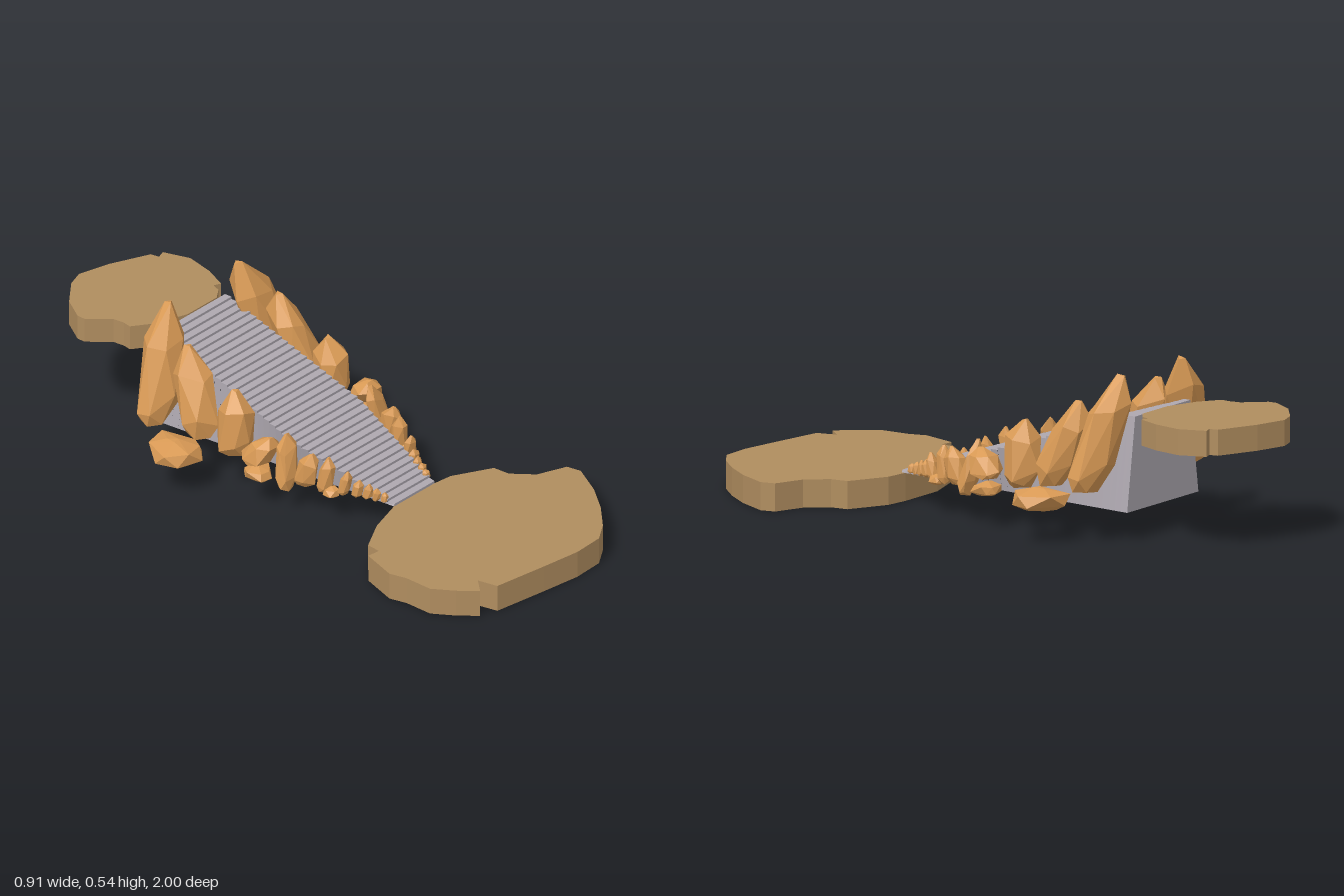
import * as THREE from 'three';
import { ConvexGeometry } from 'three/addons/geometries/ConvexGeometry.js';

const CX = -0.017; // axis of the stairway and of the mirrored rocks
const mat = (color) => new THREE.MeshStandardMaterial({ color, flatShading: true });

// Flat slab with a ragged outline given as [x, z] points
function slab(name, outline, y0, y1, material) {
  const shape = new THREE.Shape(outline.map(([x, z]) => new THREE.Vector2(x, -z)));
  const geo = new THREE.ExtrudeGeometry(shape, { depth: y1 - y0, bevelEnabled: false });
  geo.rotateX(-Math.PI / 2);
  geo.translate(0, y0, 0);
  const mesh = new THREE.Mesh(geo, material);
  mesh.name = name;
  return mesh;
}

// Solid flight of steps, narrow at the foot, with leaning side walls
function stairs(material) {
  const steps = 36, z0 = 0.375, z1 = -0.57, yb = 0.095, yt = 0.402;
  const pos = [];
  const quad = (a, b, c, d) => pos.push(...a, ...b, ...c, ...a, ...c, ...d);
  const lerp = THREE.MathUtils.lerp;
  const topHalf = (t) => (t < 0.4 ? lerp(0.095, 0.17, t / 0.4) : lerp(0.17, 0.155, (t - 0.4) / 0.6));
  const lowHalf = (t) => lerp(0.1, 0.2, t);
  const p = (s, half, y, t) => [CX + s * half, y, lerp(z0, z1, t)];
  for (let i = 0; i < steps; i++) {
    const a = i / steps, b = (i + 1) / steps;
    const y = lerp(yb, yt, b), yPrev = lerp(yb, yt, a);
    const wa = topHalf(a), wb = topHalf(b), la = lowHalf(a), lb = lowHalf(b);
    quad(p(-1, wa, yPrev, a), p(1, wa, yPrev, a), p(1, wa, y, a), p(-1, wa, y, a)); // riser
    quad(p(-1, wa, y, a), p(1, wa, y, a), p(1, wb, y, b), p(-1, wb, y, b)); // tread
    quad(p(1, la, yb, a), p(1, lb, yb, b), p(1, wb, y, b), p(1, wa, y, a)); // left wall
    quad(p(-1, lb, yb, b), p(-1, la, yb, a), p(-1, wa, y, a), p(-1, wb, y, b)); // right wall
  }
  const l0 = lowHalf(0), l1 = lowHalf(1), w1 = topHalf(1);
  quad(p(-1, l1, yb, 1), p(1, l1, yb, 1), p(1, l0, yb, 0), p(-1, l0, yb, 0)); // underside
  quad(p(1, l1, yb, 1), p(-1, l1, yb, 1), p(-1, w1, yt, 1), p(1, w1, yt, 1)); // back
  const geo = new THREE.BufferGeometry();
  geo.setAttribute('position', new THREE.Float32BufferAttribute(pos, 3));
  geo.computeVertexNormals();
  const mesh = new THREE.Mesh(geo, material);
  mesh.name = 'stairway';
  return mesh;
}

function seeded(seed) {
  let s = seed * 7919 + 17;
  return () => (s = (s * 16807) % 2147483647) / 2147483647;
}

// Faceted boulder: jittered rings from a base point to a tip, wrapped in a hull
function rockPoints([bx, by, bz, tx, ty, tz, rx, rz], seed) {
  const rnd = seeded(seed);
  for (let i = 0; i < 5; i++) rnd();
  const rings = [[0, 0.6], [0.2, 1], [0.7, 0.92], [1, 0.2]];
  const pts = [];
  rings.forEach(([t, r], k) => {
    const n = k === 3 ? 3 : 6;
    for (let i = 0; i < n; i++) {
      const a = ((i + rnd() * 0.5 + k * 0.4) / n) * Math.PI * 2;
      const q = r * (0.88 + rnd() * 0.22);
      const dy = k === 3 ? -rnd() * 0.05 : k === 0 ? rnd() * 0.08 : (rnd() - 0.5) * 0.16;
      pts.push(new THREE.Vector3(
        bx + (tx - bx) * t + Math.cos(a) * rx * q,
        by + (ty - by) * (t + dy),
        bz + (tz - bz) * t + Math.sin(a) * rz * q));
    }
  });
  return pts;
}

// base x, y, z, tip x, y, z, radius x, radius z
const ROCKS = [
  [0.28, 0.165, -0.47, 0.15, 0.54, -0.525, 0.09, 0.07],
  [0.24, 0.16, -0.31, 0.2, 0.455, -0.4, 0.065, 0.075],
  [0.33, 0.105, -0.33, 0.34, 0.18, -0.34, 0.085, 0.105],
  [0.22, 0.14, -0.185, 0.205, 0.365, -0.19, 0.065, 0.065],
  [0.25, 0.16, -0.08, 0.22, 0.255, -0.03, 0.055, 0.05],
  [0.24, 0.1, -0.06, 0.24, 0.15, -0.07, 0.05, 0.05],
  [0.22, 0.085, 0.035, 0.185, 0.27, 0.005, 0.045, 0.028],
  [0.19, 0.11, 0.08, 0.18, 0.235, 0.11, 0.032, 0.04],
  [0.165, 0.1, 0.15, 0.155, 0.225, 0.16, 0.03, 0.028],
  [0.17, 0.095, 0.18, 0.16, 0.13, 0.18, 0.025, 0.028],
  [0.14, 0.1, 0.21, 0.135, 0.19, 0.225, 0.024, 0.022],
  [0.12, 0.1, 0.25, 0.115, 0.16, 0.255, 0.022, 0.017],
  [0.105, 0.098, 0.28, 0.1, 0.15, 0.285, 0.019, 0.015],
  [0.095, 0.097, 0.31, 0.09, 0.14, 0.31, 0.017, 0.014],
  [0.085, 0.097, 0.335, 0.08, 0.13, 0.335, 0.014, 0.012],
];

const LOWER = [
  [-0.11, 0.37], [0.07, 0.37], [0.15, 0.38], [0.28, 0.45], [0.285, 0.51], [0.34, 0.58],
  [0.44, 0.62], [0.45, 0.67], [0.39, 0.78], [0.32, 0.87], [0.24, 0.95], [0.17, 0.995],
  [0.06, 1], [-0.08, 0.98], [-0.27, 0.95], [-0.285, 0.88], [-0.33, 0.93], [-0.38, 0.87],
  [-0.425, 0.8], [-0.425, 0.7], [-0.44, 0.64], [-0.4, 0.515], [-0.355, 0.52],
  [-0.35, 0.47], [-0.24, 0.41],
];
const UPPER = [
  [-0.08, -1], [0.03, -0.97], [0.165, -0.91], [0.17, -0.88], [0.2, -0.89], [0.23, -0.8],
  [0.21, -0.7], [0.175, -0.62], [0.15, -0.63], [0.14, -0.6], [0.1, -0.572], [-0.04, -0.572],
  [-0.15, -0.61], [-0.22, -0.66], [-0.215, -0.69], [-0.22, -0.73], [-0.28, -0.8],
  [-0.28, -0.83], [-0.23, -0.91], [-0.14, -0.98],
];

export function createModel() {
  const model = new THREE.Group();
  model.name = 'rockStairway';
  const earth = mat(0xb08d5f), stone = mat(0xd99a55), grey = mat(0xaea8b0);

  model.add(slab('lowerLanding', LOWER, 0, 0.092, earth));
  model.add(slab('upperLanding', UPPER, 0.32, 0.405, earth));
  model.add(stairs(grey));

  // Boulders along both sides, mirrored about the stair axis
  for (const side of [1, -1]) {
    const row = new THREE.Group();
    row.name = side > 0 ? 'leftRocks' : 'rightRocks';
    ROCKS.forEach((r, i) => {
      const pts = rockPoints(r, i + 3);
      if (side < 0) pts.forEach((v) => { v.x = 2 * CX - v.x; });
      const rock = new THREE.Mesh(new ConvexGeometry(pts), stone);
      rock.name = 'rock' + (i + 1);
      row.add(rock);
    });
    model.add(row);
  }
  return model;
}
